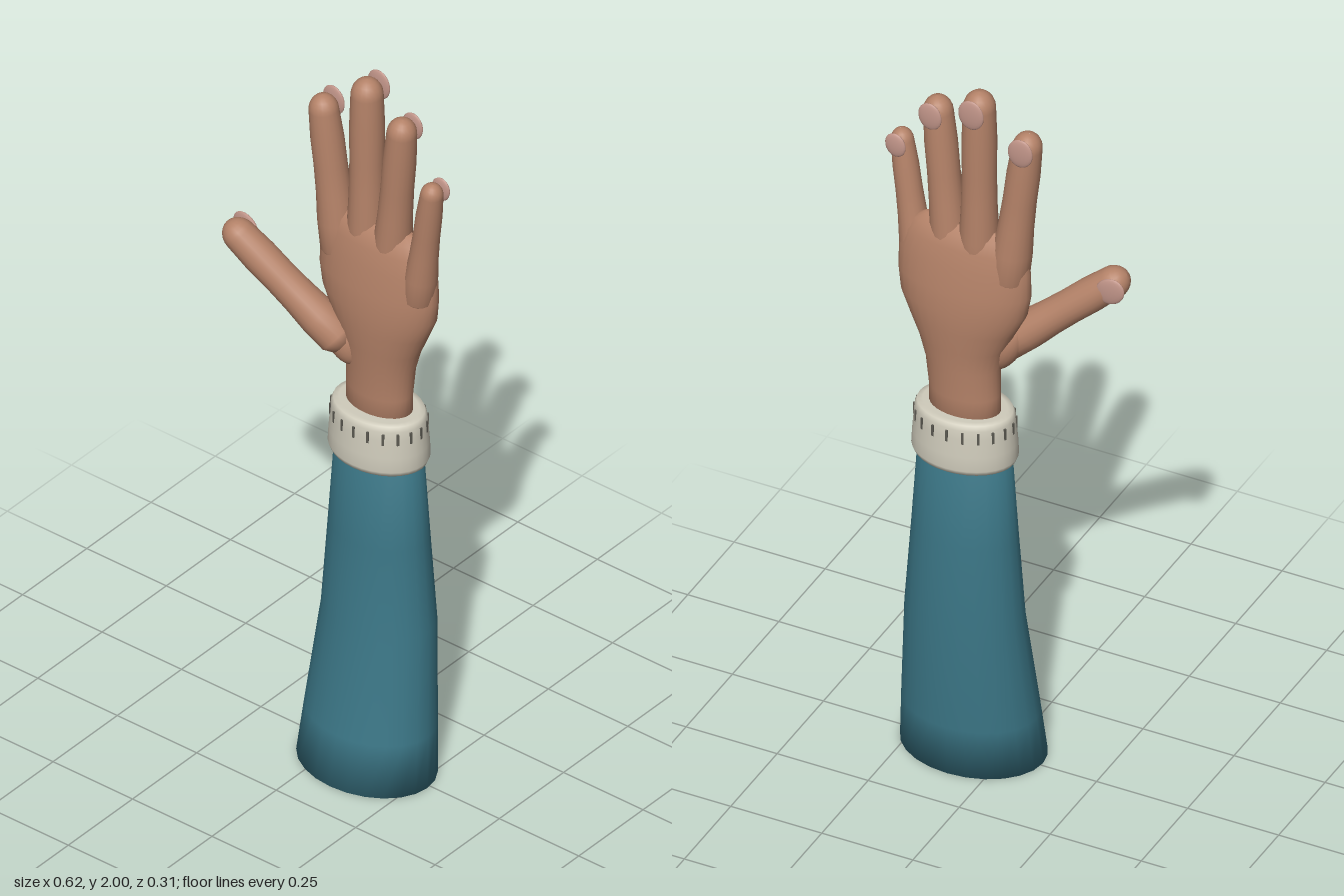
import * as THREE from 'three';

const mat = (name, color) => {
  const m = new THREE.MeshStandardMaterial({ color });
  m.name = name;
  return m;
};

// Smooth closed loft through horizontal elliptical rings [x, y, z, rx, rz]
function loft(rings, sides) {
  const pos = [], idx = [];
  for (const [x, y, z, rx, rz] of rings) {
    for (let j = 0; j < sides; j++) {
      const a = (j / sides) * Math.PI * 2;
      pos.push(x + Math.cos(a) * rx, y, z + Math.sin(a) * rz);
    }
  }
  const last = rings.length - 1, bottom = rings.length * sides, top = bottom + 1;
  pos.push(...rings[0].slice(0, 3), ...rings[last].slice(0, 3));
  for (let j = 0; j < sides; j++) {
    const k = (j + 1) % sides;
    for (let i = 0; i < last; i++) {
      const a = i * sides + j, b = i * sides + k;
      idx.push(a, a + sides, b, b, a + sides, b + sides);
    }
    idx.push(bottom, j, k, top, last * sides + k, last * sides + j);
  }
  const g = new THREE.BufferGeometry();
  g.setAttribute('position', new THREE.Float32BufferAttribute(pos, 3));
  g.setIndex(idx);
  g.computeVertexNormals();
  return g;
}

// Straight tapered digit with a domed tip, running from a to b (b is the very tip)
function digitGeometry(a, b, r0, r1) {
  const from = new THREE.Vector3(...a), dir = new THREE.Vector3(...b).sub(from);
  const len = dir.length(), body = len - r1 * 1.15;
  const pts = [new THREE.Vector2(0.001, -r0 * 0.7), new THREE.Vector2(r0 * 0.7, -r0 * 0.5), new THREE.Vector2(r0, 0)];
  for (let i = 1; i <= 4; i++) {
    const t = i / 5;
    const swell = 1 + 0.04 * Math.sin(t * Math.PI * 3);
    pts.push(new THREE.Vector2((r0 + (r1 - r0) * t) * swell, body * t));
  }
  for (let i = 0; i <= 6; i++) {
    const t = (i / 6) * Math.PI / 2;
    pts.push(new THREE.Vector2(Math.max(r1 * Math.cos(t), 0.0005), body + r1 * 1.15 * Math.sin(t)));
  }
  const g = new THREE.LatheGeometry(pts, 20);
  g.applyQuaternion(new THREE.Quaternion().setFromUnitVectors(new THREE.Vector3(0, 1, 0), dir.normalize()));
  return g.translate(...a);
}

export function createModel() {
  const model = new THREE.Group();
  model.name = 'raisedArm';
  const skin = mat('skin', 0xb48268);
  const teal = mat('sleeve teal', 0x3b7686);
  const cream = mat('cuff cream', 0xcfcbbb);
  const nailPink = mat('nail pink', 0xc09488);
  const stitchGrey = mat('stitch grey', 0x5c5a52);
  const add = (name, geometry, material, parent = model) => {
    const m = new THREE.Mesh(geometry, material);
    m.name = name;
    parent.add(m);
    return m;
  };

  // Sleeve, bent slightly at the forearm
  add('sleeve', loft([
    [0.092, 0, 0.01, 0.19, 0.145],
    [0.092, 0.14, -0.005, 0.18, 0.136],
    [0.092, 0.43, -0.037, 0.157, 0.117],
    [0.092, 0.68, -0.037, 0.139, 0.102],
    [0.092, 0.94, -0.037, 0.122, 0.085],
  ], 24), teal);

  // Cuff with rounded rims
  const cx = 0.092, cz = -0.037;
  add('cuff', loft([
    [0.120, 0.905, 0.088], [0.133, 0.907, 0.101], [0.138, 0.92, 0.106],
    [0.136, 0.96, 0.104], [0.132, 1.01, 0.1], [0.130, 1.035, 0.098],
    [0.124, 1.048, 0.092], [0.110, 1.05, 0.078],
  ].map(([rx, y, rz]) => [cx, y, cz, rx, rz]), 32), cream);

  // Short stitches round the upper cuff
  const stitches = new THREE.Group();
  stitches.name = 'cuffStitches';
  model.add(stitches);
  for (let i = 0; i < 20; i++) {
    const a = (i / 20) * Math.PI * 2;
    const s = add('stitch', new THREE.BoxGeometry(0.006, 0.032, 0.006), stitchGrey, stitches);
    s.position.set(cx + Math.sin(a) * 0.131, 1.014, cz + Math.cos(a) * 0.099);
    s.rotation.y = Math.atan2(Math.sin(a) / 0.131, Math.cos(a) / 0.099);
  }

  // Wrist and palm
  const hand = new THREE.Group();
  hand.name = 'hand';
  model.add(hand);
  add('palm', loft([
    [0.090, 1.00, -0.040, 0.094, 0.060],
    [0.091, 1.10, -0.040, 0.094, 0.061],
    [0.096, 1.18, -0.039, 0.098, 0.065],
    [0.098, 1.24, -0.038, 0.114, 0.070],
    [0.096, 1.30, -0.038, 0.142, 0.076],
    [0.094, 1.36, -0.038, 0.170, 0.078],
    [0.092, 1.42, -0.038, 0.179, 0.074],
    [0.092, 1.49, -0.038, 0.178, 0.064],
    [0.090, 1.54, -0.038, 0.166, 0.054],
    [0.086, 1.575, -0.038, 0.145, 0.042],
    [0.082, 1.595, -0.038, 0.118, 0.022],
  ], 32), skin, hand);

  // Ball of the thumb
  const ball = add('thumbBase', new THREE.SphereGeometry(1, 24, 16), skin, hand);
  ball.position.set(0.005, 1.235, -0.008);
  ball.scale.set(0.05, 0.085, 0.048);
  ball.rotation.z = 0.5;

  // Fingers and thumb: root, tip, root radius, tip radius, nail centre, nail half width
  const digits = [
    ['indexFinger', [-0.028, 1.47, -0.036], [-0.078, 1.905, -0.025], 0.051, 0.038, [-0.074, 1.868, -0.066], 0.034],
    ['middleFinger', [0.052, 1.47, -0.04], [0.05, 2.0, -0.042], 0.050, 0.041, [0.05, 1.957, -0.088], 0.035],
    ['ringFinger', [0.128, 1.47, -0.038], [0.174, 1.94, -0.028], 0.049, 0.038, [0.174, 1.9, -0.066], 0.032],
    ['littleFinger', [0.222, 1.43, -0.03], [0.281, 1.8, -0.013], 0.043, 0.029, [0.279, 1.768, -0.046], 0.028],
    ['thumb', [0.0, 1.235, 0.012], [-0.293, 1.485, 0.08], 0.05, 0.042, [-0.27, 1.455, 0.033], 0.035],
  ];
  for (const [name, root, tip, r0, r1, at, w] of digits) {
    const digit = new THREE.Group();
    digit.name = name;
    hand.add(digit);
    add('flesh', digitGeometry(root, tip, r0, r1), skin, digit);
    const nail = add('nail', new THREE.SphereGeometry(1, 20, 12), nailPink, digit);
    nail.position.set(...at);
    nail.scale.set(w, w * 1.2, 0.008);
    nail.rotation.z = -Math.atan2(tip[0] - root[0], tip[1] - root[1]);
  }
  return model;
}
